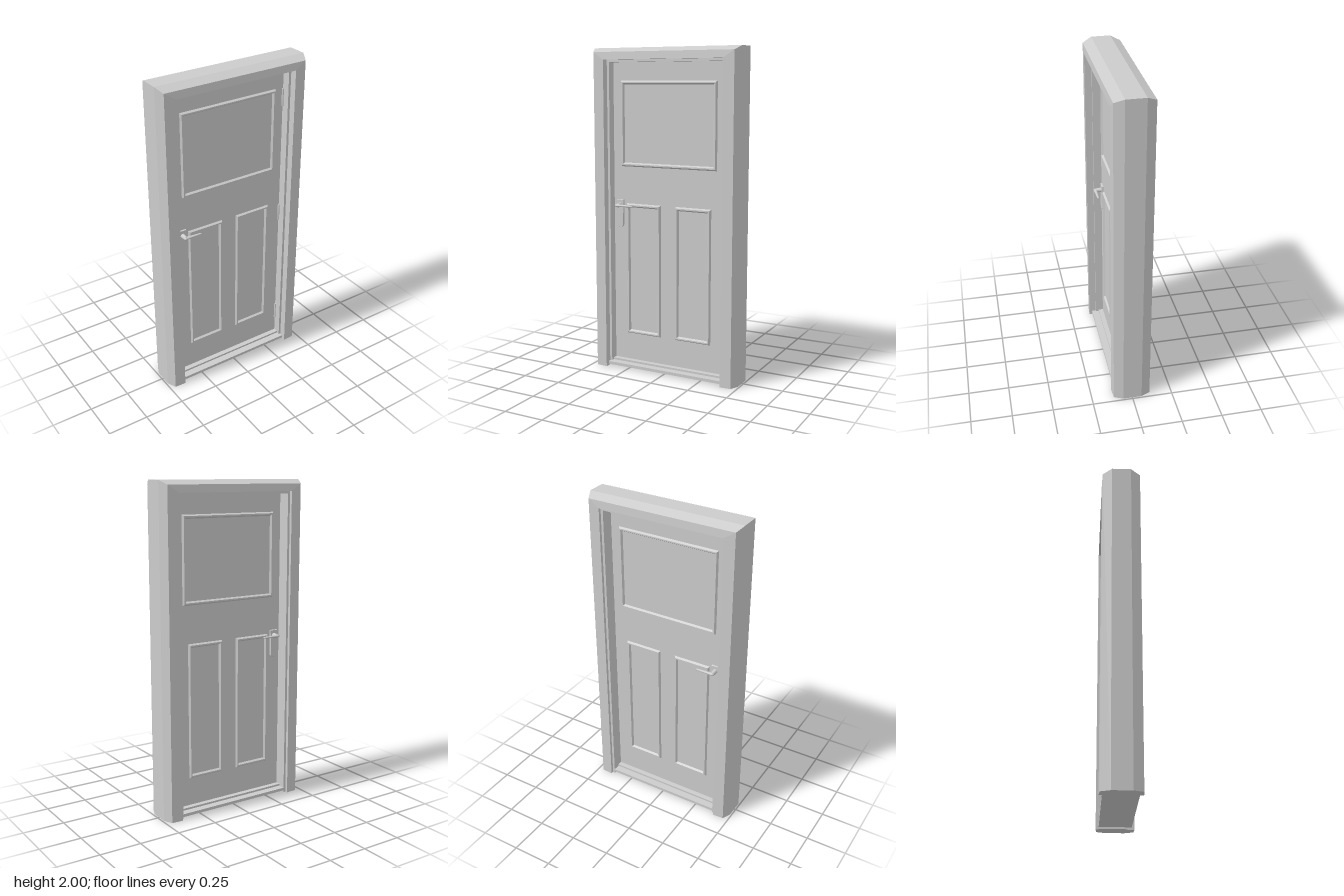
import * as THREE from 'three';

const grey = new THREE.MeshStandardMaterial({ color: 0xcccccc });
const flat = new THREE.MeshStandardMaterial({ color: 0xcccccc, flatShading: true });

function add(parent, name, geometry, material = flat, x = 0, y = 0, z = 0) {
  const mesh = new THREE.Mesh(geometry, material);
  mesh.name = name;
  mesh.position.set(x, y, z);
  parent.add(mesh);
  return mesh;
}

// Joins successive cross-sections (arrays of [x, y, z]) with flat quads
function skin(sections, closedPath, closedProfile) {
  const n = sections.length, m = sections[0].length, out = [];
  for (let i = 0; i < (closedPath ? n : n - 1); i++) {
    for (let j = 0; j < (closedProfile ? m : m - 1); j++) {
      const s = sections[i], t = sections[(i + 1) % n], k = (j + 1) % m;
      out.push(...s[j], ...s[k], ...t[j], ...s[k], ...t[k], ...t[j]);
    }
  }
  const geometry = new THREE.BufferGeometry();
  geometry.setAttribute('position', new THREE.Float32BufferAttribute(out, 3));
  geometry.computeVertexNormals();
  return geometry;
}

// Mitred frame: profile points give the x of the jambs, the y of the head, and z
function addFrame(parent) {
  const profile = [
    [0.49, 2, -0.058], [0.49, 2, 0.058], [0.465, 1.975, 0.114], [0.395, 1.93, 0.118],
    [0.395, 1.93, 0.075], [0.38, 1.915, 0.075], [0.38, 1.915, -0.1], [0.395, 1.93, -0.1],
    [0.395, 1.93, -0.118], [0.465, 1.975, -0.114],
  ];
  const corners = [[-1, 0], [-1, 1], [1, 1], [1, 0]];
  const sections = corners.map(([s, t]) => profile.map(([x, y, z]) => [s * x, t * y, z]));
  add(parent, 'doorFrame', skin(sections, false, true));
  for (const s of [-1, 1]) {
    const shape = new THREE.Shape(profile.map(([x, , z]) => new THREE.Vector2(s * x, z)));
    add(parent, 'jambFoot', new THREE.ShapeGeometry(shape).rotateX(Math.PI / 2));
  }
}

// Raised moulding around a rectangular panel, facing +z
function mouldingGeometry(x0, x1, y0, y1) {
  const profile = [[0, 0], [0.008, 0.012], [0.016, 0.012], [0.025, -0.001]];
  const corners = [[1, 0], [0, 0], [0, 1], [1, 1]];
  return skin(corners.map(([u, v]) => profile.map(([d, z]) => [
    u ? x1 - d : x0 + d, v ? y1 - d : y0 + d, z,
  ])), true, false);
}

// Lever handle on a long rounded plate; side is +1 at the front, -1 at the back
function addHandle(parent, side) {
  const handle = new THREE.Group();
  handle.name = side > 0 ? 'frontHandle' : 'backHandle';
  handle.position.set(-0.333, 0, side * 0.025);
  parent.add(handle);

  const plate = new THREE.Shape();
  plate.moveTo(-0.024, 1.07);
  plate.lineTo(-0.02, 0.915);
  plate.quadraticCurveTo(-0.018, 0.9, 0, 0.9);
  plate.quadraticCurveTo(0.018, 0.9, 0.02, 0.915);
  plate.lineTo(0.024, 1.07);
  add(handle, 'handlePlate', new THREE.ExtrudeGeometry(plate, {
    depth: 0.008, bevelEnabled: true, bevelSize: 0.002, bevelThickness: 0.003, bevelSegments: 1,
  }), flat, 0, 0, side > 0 ? 0 : -0.008);

  const neck = new THREE.CylinderGeometry(0.012, 0.015, 0.045, 16).rotateX(side * Math.PI / 2);
  add(handle, 'handleNeck', neck, grey, 0, 1.038, side * 0.028);

  // Tapered, slightly flattened lever with a rounded tip
  const profile = [[0, 0], [0.01, 0.002], [0.012, 0.012], [0.009, 0.05], [0.006, 0.115], [0, 0.12]];
  const lever = new THREE.LatheGeometry(profile.map(([r, h]) => new THREE.Vector2(r, h)), 14);
  lever.rotateZ(-Math.PI / 2).scale(1, 0.8, 1);
  add(handle, 'handleLever', lever, grey, -0.012, 1.038, side * 0.048);
}

export function createModel() {
  const model = new THREE.Group();
  model.name = 'door';
  addFrame(model);

  // Stepped threshold between the jambs
  add(model, 'threshold', new THREE.BoxGeometry(0.78, 0.018, 0.2), flat, 0, 0.021, 0);
  add(model, 'thresholdStep', new THREE.BoxGeometry(0.76, 0.012, 0.11), flat, 0, 0.036, 0);

  // Door leaf
  const leaf = new THREE.Group();
  leaf.name = 'leaf';
  model.add(leaf);
  add(leaf, 'slab', new THREE.BoxGeometry(0.758, 1.872, 0.05), flat, 0, 0.979, 0);

  // Panel mouldings, repeated on both faces
  const panels = [
    ['upperPanel', -0.325, 0.325, 1.28, 1.805],
    ['rightPanel', -0.29, -0.05, 0.215, 1.05],
    ['leftPanel', 0.05, 0.29, 0.215, 1.05],
  ];
  for (const side of [1, -1]) {
    for (const [name, ...rect] of panels) {
      const moulding = add(leaf, name, mouldingGeometry(...rect), flat, 0, 0, side * 0.025);
      if (side < 0) moulding.rotation.y = Math.PI;
    }
    addHandle(leaf, side);
  }

  // Hinge knuckles on the front edge
  for (const y of [0.205, 0.975, 1.745]) {
    add(model, 'hinge', new THREE.CylinderGeometry(0.006, 0.006, 0.11, 12), grey, 0.376, y, 0.028);
  }
  return model;
}
